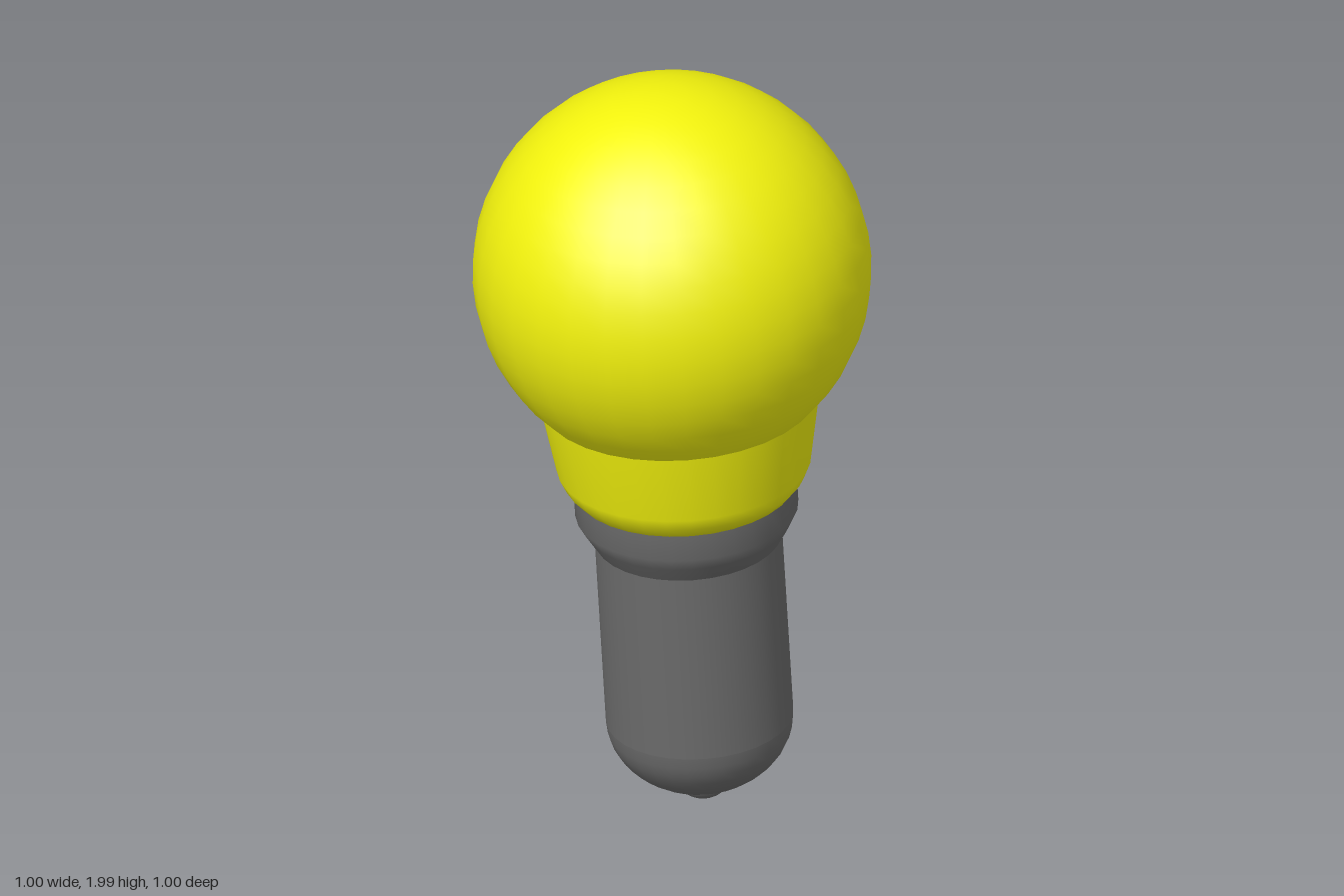
import * as THREE from 'three';

export function createModel() {
  const model = new THREE.Group();
  model.name = 'lightBulb';
  const yellow = new THREE.MeshStandardMaterial({ color: 0xf2f20d });
  const grey = new THREE.MeshStandardMaterial({ color: 0x6b6b6b });

  // All parts sit on one axis, measured from the centre of the globe
  const add = (name, geometry, material) => {
    const mesh = new THREE.Mesh(geometry, material);
    mesh.name = name;
    model.add(mesh);
    return mesh;
  };
  const lathe = (points) =>
    new THREE.LatheGeometry(points.map(([r, y]) => new THREE.Vector2(r, y)), 32);
  // Rounded cap hanging below height y
  const dome = (radius, height, y) => {
    const points = [];
    for (let i = 0; i <= 10; i++) {
      const a = (i / 10) * Math.PI / 2;
      points.push([radius * Math.sin(a), y - height * Math.cos(a)]);
    }
    return lathe(points);
  };

  // Glass globe and its neck
  add('globe', new THREE.SphereGeometry(0.5, 32, 24), yellow);
  add('neck', lathe([[0, -0.61], [0.28, -0.61], [0.305, -0.58], [0.32, -0.545], [0.358, -0.32], [0.36, -0.28]]), yellow);

  // Metal base: collar flaring out from a straight barrel
  add('collar', lathe([[0.235, -0.76], [0.262, -0.715], [0.28, -0.68], [0.28, -0.605]]), grey);
  add('collarTop', lathe([[0.28, -0.605], [0, -0.605]]), grey);
  add('barrel', lathe([[0.235, -1.27], [0.235, -0.755]]), grey);
  add('baseDome', dome(0.235, 0.19, -1.27), grey);
  add('contactTip', dome(0.065, 0.048, -1.45), grey);

  // Small locking pin at the back of the barrel
  const pin = add('lockingPin', new THREE.BoxGeometry(0.035, 0.04, 0.08), grey);
  pin.position.set(-0.06, -1.237, -0.217);
  pin.rotation.y = 0.27;

  // The whole bulb leans slightly
  const down = new THREE.Vector3(0.024, -1, -0.05).normalize();
  model.quaternion.setFromUnitVectors(new THREE.Vector3(0, -1, 0), down);
  model.position.y = 1.5;

  const root = new THREE.Group();
  root.name = 'leaningBulb';
  root.add(model);
  return root;
}
